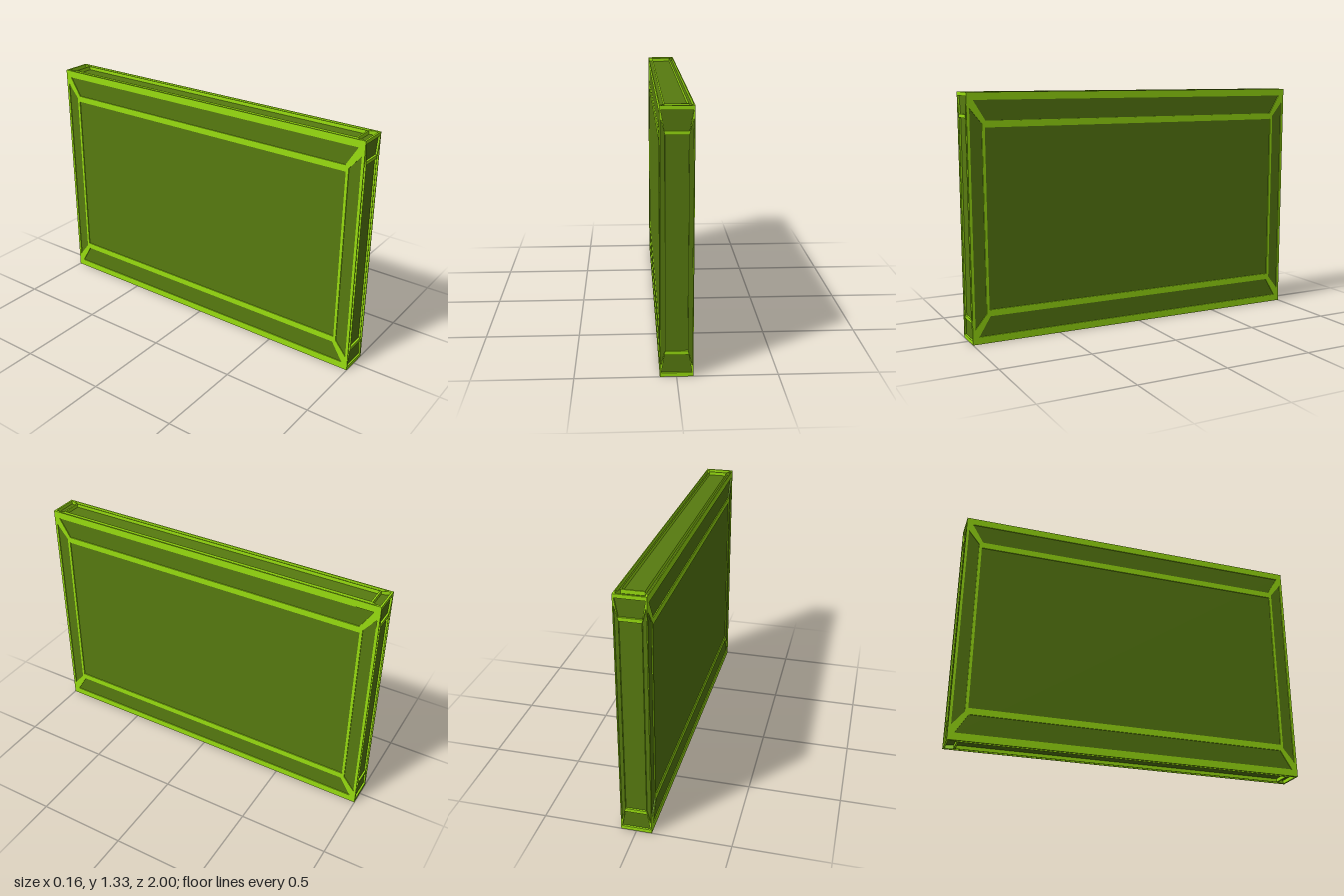
import * as THREE from 'three';

const HX = 0.082, HY = 0.667, HZ = 1;      // half sizes of the slab
const DX = 0.005, DY = 0.02, DZ = 0.01;    // how far the panels sit below the frame

const lime = new THREE.MeshStandardMaterial({ color: 0x99df10 });
const olive = new THREE.MeshStandardMaterial({ color: 0x587c10 });

const path = (pts) => new THREE.Path(pts.map(([x, y]) => new THREE.Vector2(x, y)));

// Frame of one face: a plate pierced by a centre rectangle and four trapezoids.
// end = [outer v, inner v, outer half u, inner half u]; side = the same with u and v swapped.
function frameGeometry({ u, v, depth, end, side, centre }) {
  const shape = new THREE.Shape([[-u, -v], [u, -v], [u, v], [-u, v]].map((p) => new THREE.Vector2(...p)));
  const [cu, cv] = centre;
  shape.holes.push(path([[-cu, -cv], [-cu, cv], [cu, cv], [cu, -cv]]));
  for (const s of [-1, 1]) {
    const [eo, ei, ew, en] = end;
    shape.holes.push(path([[-ew, s * eo], [ew, s * eo], [en, s * ei], [-en, s * ei]]));
    const [so, si, sw, sn] = side;
    shape.holes.push(path([[s * so, -sw], [s * so, sw], [s * si, sn], [s * si, -sn]]));
  }
  return new THREE.ExtrudeGeometry(shape, { depth, bevelEnabled: false });
}

export function createModel() {
  const model = new THREE.Group();
  model.name = 'framedSlab';

  // Dark core whose faces are the recessed panels
  const core = new THREE.Mesh(
    new THREE.BoxGeometry(2 * (HX - DX), 2 * (HY - DY), 2 * (HZ - DZ)), olive);
  core.name = 'recessedPanels';
  core.position.y = HY;
  model.add(core);

  // Frames for the three pairs of opposite faces
  const pairs = [
    { names: ['leftFrame', 'rightFrame'], half: HX, turns: [[0, Math.PI / 2], [0, -Math.PI / 2]],
      u: HZ, v: HY, depth: DX,
      end: [0.627, 0.52, 0.965, 0.90], side: [0.985, 0.92, 0.585, 0.505], centre: [0.905, 0.485] },
    { names: ['frontFrame', 'backFrame'], half: HZ, turns: [[0, 0], [0, Math.PI]],
      u: HX, v: HY, depth: DZ,
      end: [0.647, 0.552, 0.075, 0.058], side: [0.077, 0.057, 0.61, 0.535], centre: [0.055, 0.533] },
    { names: ['topFrame', 'bottomFrame'], half: HY, turns: [[-Math.PI / 2, 0], [Math.PI / 2, 0]],
      u: HX, v: HZ, depth: DY,
      end: [0.99, 0.945, 0.073, 0.058], side: [0.077, 0.057, 0.975, 0.94], centre: [0.055, 0.936] },
  ];
  for (const pair of pairs) {
    const geometry = frameGeometry(pair);
    geometry.translate(0, 0, pair.half - pair.depth);
    pair.names.forEach((name, i) => {
      const frame = new THREE.Mesh(geometry, lime);
      frame.name = name;
      frame.rotation.set(pair.turns[i][0], pair.turns[i][1], 0);
      frame.position.y = HY;
      model.add(frame);
    });
  }
  return model;
}
